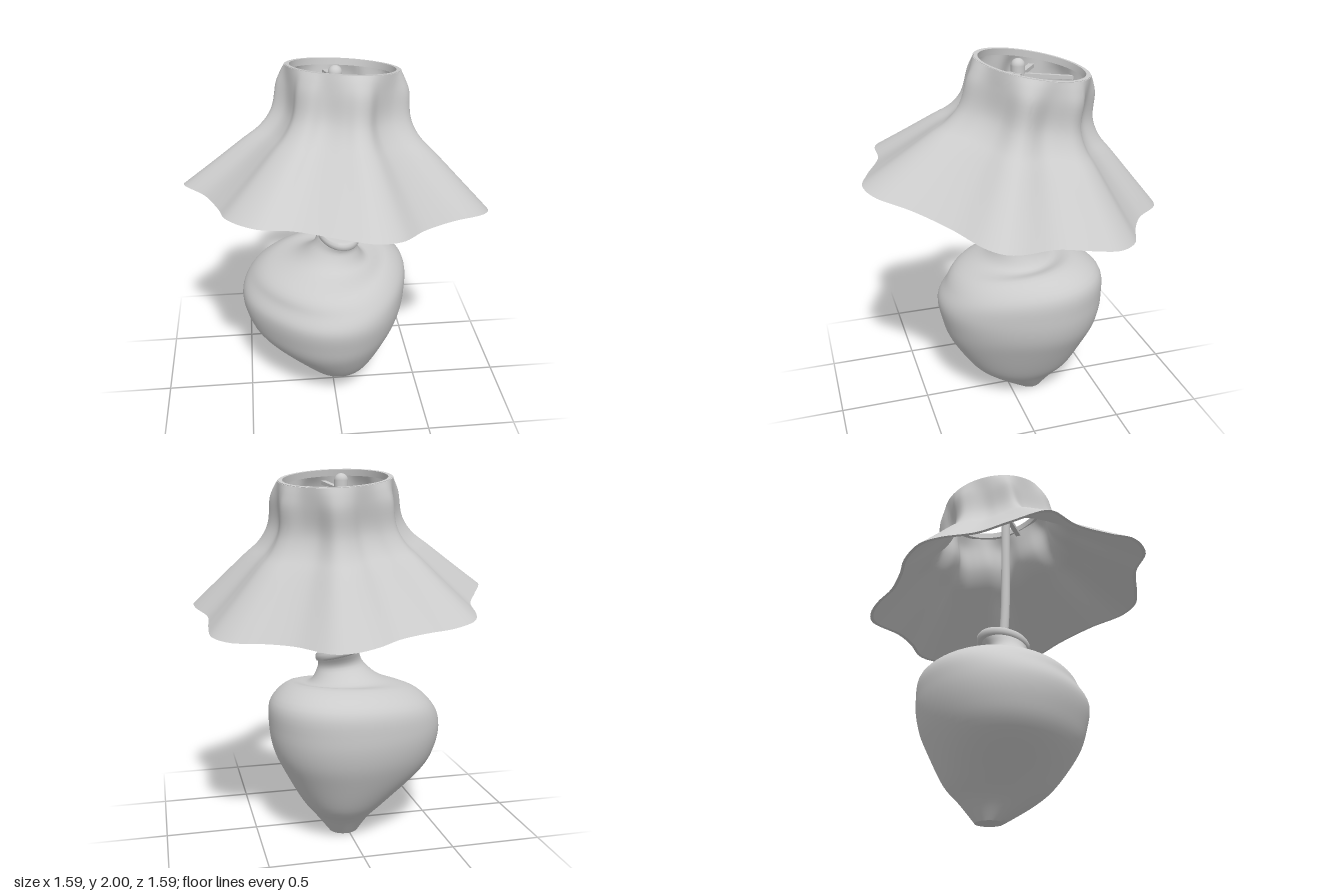
import * as THREE from 'three';
import { toCreasedNormals } from 'three/addons/utils/BufferGeometryUtils.js';

const material = new THREE.MeshStandardMaterial({ color: 0xcccccc, side: THREE.DoubleSide });

function add(parent, name, geometry) {
  const mesh = new THREE.Mesh(geometry, material);
  mesh.name = name;
  parent.add(mesh);
  return mesh;
}

// Skin of quads over closed rings; rings run upwards on the outside
function skin(rings, crease = 0.7) {
  const n = rings[0].length, index = [];
  for (let i = 0; i < rings.length - 1; i++) {
    for (let j = 0; j < n; j++) {
      const k = (j + 1) % n;
      const a = i * n + j, b = a + n, c = i * n + k, d = c + n;
      index.push(a, b, c, b, d, c);
    }
  }
  const geometry = new THREE.BufferGeometry().setFromPoints(rings.flat());
  geometry.setIndex(index);
  return toCreasedNormals(geometry, crease);
}

// Tilted ellipse: centre, radii, the rise in y per unit of x and z,
// and a skew that flattens the front right and fills the back left
function ellipse([cx, cy, cz, rx, rz, sx, sz, skew = 0], n = 64) {
  return Array.from({ length: n }, (_, j) => {
    const t = (j / n) * Math.PI * 2, a = t + Math.PI / 4;
    const k = 1 + skew * (Math.cos(a) + Math.cos(3 * a));
    const dx = k * rx * Math.cos(t), dz = k * rz * Math.sin(t);
    return new THREE.Vector3(cx + dx, cy + sx * dx + sz * dz, cz + dz);
  });
}

// Smooth in-between rows for a list of equally long number rows
function smoothRows(rows, steps) {
  const out = [];
  const at = i => rows[Math.min(Math.max(i, 0), rows.length - 1)];
  for (let i = 0; i < rows.length - 1; i++) {
    for (let s = 0; s < steps; s++) {
      const t = s / steps;
      out.push(rows[i].map((b, k) => {
        const a = at(i - 1)[k], c = at(i + 1)[k], d = at(i + 2)[k];
        return b + 0.5 * t * (c - a + t * (2 * a - 5 * b + 4 * c - d + t * (3 * (b - c) + d - a)));
      }));
    }
  }
  out.push(rows[rows.length - 1]);
  return out;
}

// Lopsided vase, from foot to neck
const vaseRows = [
  [0.02, 0, -0.125, 0.08, 0.075, 0, 0, 0],
  [0.02, 0.1, -0.085, 0.16, 0.195, 0, 0, 0.015],
  [0.005, 0.2, -0.07, 0.25, 0.295, 0, 0, 0.035],
  [-0.045, 0.37, -0.055, 0.39, 0.395, 0, 0, 0.05],
  [-0.05, 0.5, -0.058, 0.453, 0.443, 0, 0, 0.05],
  [-0.047, 0.63, -0.058, 0.472, 0.462, 0.01, -0.02, 0.05],
  [-0.03, 0.745, -0.068, 0.446, 0.432, 0.055, -0.09, 0.045],
  [-0.045, 0.826, -0.03, 0.35, 0.33, 0.08, -0.125, 0.03],
  [-0.01, 0.858, -0.05, 0.205, 0.195, -0.05, -0.03, 0],
  [0.015, 0.935, -0.035, 0.13, 0.115, -0.1, -0.06, 0],
  [0.03, 0.995, -0.05, 0.112, 0.132, -0.18, -0.16, 0],
];

// Scalloped hem of the shade, as x and z around the axis
const hem = [
  [0.12, -0.8], [0.22, -0.78], [0.375, -0.617], [0.506, -0.53], [0.66, -0.455], [0.74, -0.34],
  [0.745, -0.19], [0.735, -0.02], [0.79, 0.17], [0.79, 0.255], [0.74, 0.33], [0.557, 0.447],
  [0.38, 0.596], [0.24, 0.757], [0.12, 0.795], [-0.02, 0.753], [-0.25, 0.66], [-0.42, 0.65],
  [-0.557, 0.53], [-0.6, 0.38], [-0.677, 0.17], [-0.79, 0.01], [-0.79, -0.04], [-0.7, -0.2],
  [-0.62, -0.34], [-0.58, -0.52], [-0.53, -0.61], [-0.4, -0.67], [-0.27, -0.68], [-0.12, -0.71],
  [0, -0.77],
];

// Shade profile from the top: way down the axis, mean radius, depth of the folds
const shadeRows = [
  [0, 0.301, 0], [0.06, 0.311, 0.5], [0.15, 0.32, 1], [0.3, 0.324, 1.25], [0.4, 0.344, 1.3],
  [0.5, 0.39, 1.25], [0.6, 0.463, 1.2], [0.8, 0.605, 1.1], [1, 0.75, 1],
];
const TILT_X = -0.07, TILT_Z = 0.156;

// Point on the tilted shade plane, u = 0 at the top and 1 at the hem
function shadePoint(u, dx, dz) {
  return new THREE.Vector3(
    0.06 * (1 - u) + dx,
    1.95 - 0.65 * u + (TILT_X - 0.02 * u) * dx + TILT_Z * dz,
    -0.11 * (1 - u) + dz
  );
}

function shadeGeometry() {
  const curve = new THREE.CatmullRomCurve3(hem.map(([x, z]) => new THREE.Vector3(x, 0, z)), true);
  const around = curve.getSpacedPoints(168).slice(0, -1)
    .map(p => ({ t: Math.atan2(p.z, p.x), wave: Math.hypot(p.x, p.z) / 0.75 - 1 }));
  const ring = ([u, radius, fold], inset) => around.map(({ t, wave }) => {
    const r = radius * (1 + fold * wave) - inset;
    return shadePoint(u, r * Math.cos(t), r * Math.sin(t));
  });
  const rows = smoothRows(shadeRows, 4);
  const outer = rows.map(row => ring(row, 0)).reverse();
  const inner = rows.map(row => ring(row, 0.018));
  return skin([...outer, ...inner, outer[0]]);
}

export function createModel() {
  const model = new THREE.Group();
  model.name = 'tableLamp';

  // Base with a closed foot
  const vaseRings = smoothRows(vaseRows, 5).map(row => ellipse(row));
  const foot = ellipse([0.02, 0, -0.125, 0.001, 0.001, 0, 0]);
  add(model, 'vase', skin([foot, ...vaseRings]));

  // Tilted collar with a very shallow recess
  const collarProfile = [
    [0.985, 0.75], [0.992, 0.95], [1.005, 1], [1.022, 1], [1.034, 0.95],
    [1.034, 0.82], [1.028, 0.8], [1.028, 0.01],
  ];
  add(model, 'collar', skin(collarProfile.map(([y, s]) =>
    ellipse([0.033, y, -0.055, 0.124 * s, 0.15 * s, -0.19, -0.17])), 0.9));

  // Slightly bent pole
  const poleCurve = new THREE.CatmullRomCurve3([
    new THREE.Vector3(0.022, 0.98, -0.063), new THREE.Vector3(0.02, 1.1, -0.054),
    new THREE.Vector3(0.019, 1.25, -0.048), new THREE.Vector3(0.015, 1.92, -0.05),
  ]);
  add(model, 'pole', new THREE.TubeGeometry(poleCurve, 24, 0.026, 16));

  // Shade and its top ring
  add(model, 'shade', shadeGeometry());
  const hoop = [[0.05, 0.297], [-0.003, 0.297], [-0.003, 0.276], [0.05, 0.276], [0.05, 0.297]];
  add(model, 'topRing', skin(hoop.map(([u, r]) => {
    const c = shadePoint(u, 0, 0);
    return ellipse([c.x, c.y, c.z, r, r, TILT_X, TILT_Z]);
  })));

  // Two crossed bars holding the shade
  const bars = [[-0.065, -0.26, 0.005, 0.275], [-0.235, -0.09, 0.195, 0.185]];
  bars.forEach(([x1, z1, x2, z2], i) => {
    const from = shadePoint(0.1, x1, z1), to = shadePoint(0.1, x2, z2);
    const bar = add(model, 'shadeBar' + (i + 1), new THREE.BoxGeometry(0.03, 0.02, from.distanceTo(to)));
    bar.position.copy(from).lerp(to, 0.5);
    bar.lookAt(to);
  });

  // Round-topped finial
  const finial = add(model, 'finial', new THREE.CapsuleGeometry(0.037, 0.05, 8, 20));
  finial.position.set(0.014, 1.914, -0.05);
  return model;
}
